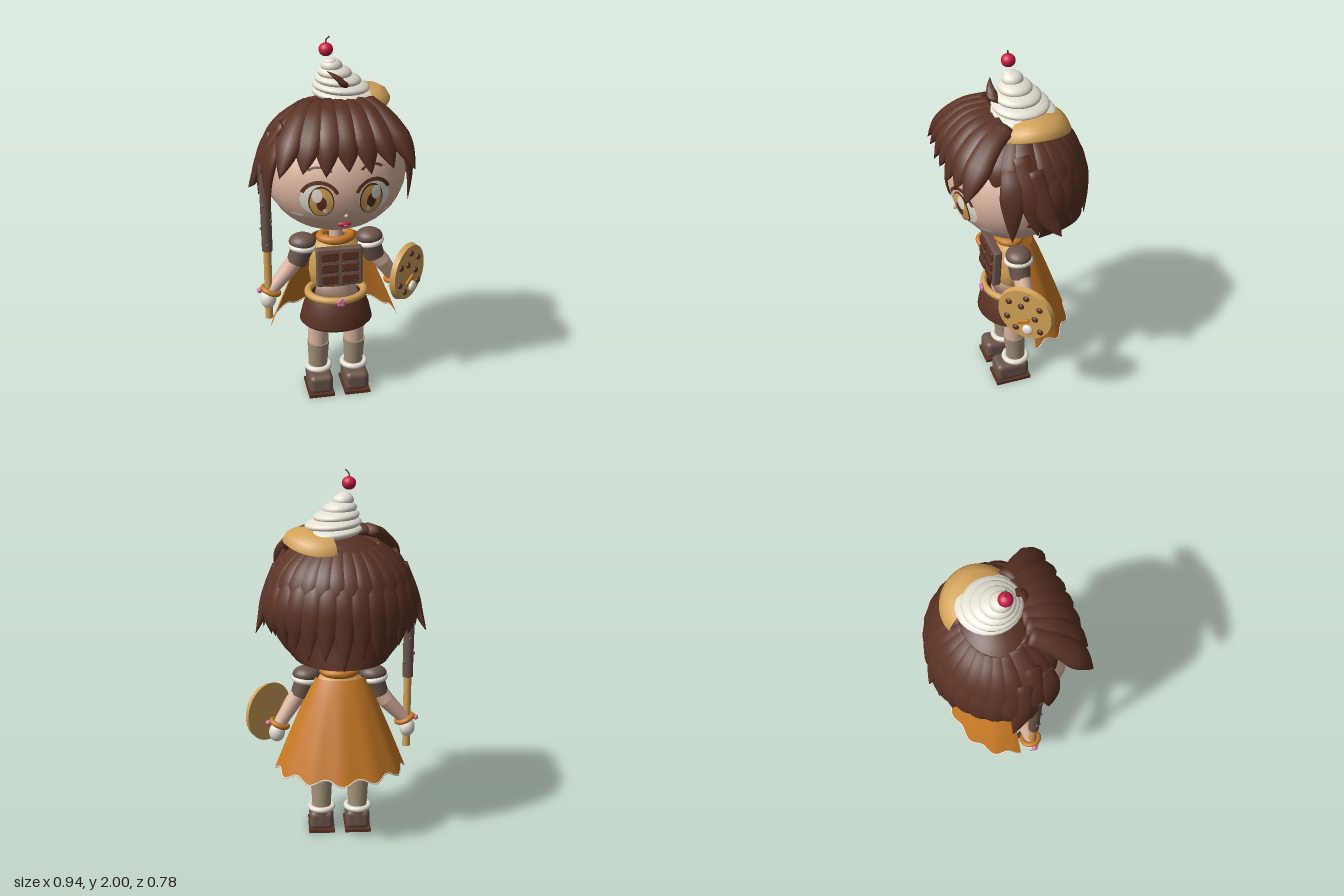
import * as THREE from 'three';
import { mergeVertices } from 'three/addons/utils/BufferGeometryUtils.js';
import { RoundedBoxGeometry } from 'three/addons/geometries/RoundedBoxGeometry.js';

const V = (x, y, z) => new THREE.Vector3(x, y, z);
const mat = (name, color, double) => {
  const m = new THREE.MeshStandardMaterial({ color });
  m.name = name;
  if (double) m.side = THREE.DoubleSide;
  return m;
};

export function createModel() {
  const model = new THREE.Group();
  const root = new THREE.Group();
  root.name = 'figure';
  root.position.x = -0.033;
  model.add(root);

  const hair = mat('chocolate brown', 0x5a3224, true), skin = mat('skin', 0xdcb5a0);
  const cocoa = mat('cocoa grey', 0x6b554b), orange = mat('orange', 0xc97a26, true);
  const tan = mat('biscuit', 0xd2a258, true), cream = mat('cream', 0xe6e1d4);
  const red = mat('cherry red', 0xc81c40), pink = mat('pink', 0xd873a8);
  const sock = mat('stocking', 0xa6937a), stemColour = mat('stem', 0x4d4a33);

  const add = (name, geo, m, x = 0, y = 0, z = 0, parent = root) => {
    const mesh = new THREE.Mesh(geo, m);
    mesh.name = name;
    mesh.position.set(x, y, z);
    parent.add(mesh);
    return mesh;
  };
  const ball = (name, m, x, y, z, rx, ry = rx, rz = rx, parent = root) => {
    const b = add(name, new THREE.SphereGeometry(1, 24, 16), m, x, y, z, parent);
    b.scale.set(rx, ry, rz);
    return b;
  };
  const limb = (name, m, a, b, ra, rb) => {
    const c = add(name, new THREE.CylinderGeometry(rb, ra, a.distanceTo(b), 18), m);
    c.position.lerpVectors(a, b, 0.5);
    c.quaternion.setFromUnitVectors(V(0, 1, 0), b.clone().sub(a).normalize());
    return c;
  };
  const ring = (name, m, x, y, z, R, r, sz = 1) => {
    const g = new THREE.TorusGeometry(R, r, 10, 32).rotateX(Math.PI / 2).scale(1, 1, sz);
    return add(name, g, m, x, y, z);
  };
  const lathe = (name, m, pts, x, y, z, sz = 1) => add(name,
    new THREE.LatheGeometry(pts.map(p => new THREE.Vector2(...p)), 36).scale(1, 1, sz), m, x, y, z);

  // Smooth surface from a rule f(u, v)
  const grid = (nu, nv, f) => {
    const pos = [], idx = [];
    for (let i = 0; i <= nv; i++) for (let j = 0; j <= nu; j++) pos.push(...f(j / nu, i / nv).toArray());
    for (let i = 0; i < nv; i++) for (let j = 0; j < nu; j++) {
      const a = i * (nu + 1) + j, c = a + nu + 1;
      idx.push(a, a + 1, c, a + 1, c + 1, c);
    }
    let g = new THREE.BufferGeometry();
    g.setAttribute('position', new THREE.Float32BufferAttribute(pos, 3));
    g.setIndex(idx);
    g = mergeVertices(g, 1e-5);
    g.computeVertexNormals();
    return g;
  };

  // Head and projected face details
  const H = V(0, 1.3, 0.02), HR = V(0.365, 0.315, 0.32);
  ball('head', skin, H.x, H.y, H.z, HR.x, HR.y, HR.z);
  const decal = (name, m, x, y, rx, ry, off, inner = 0, start = 0, len = Math.PI * 2) => {
    const g = new THREE.RingGeometry(inner, 1, 28, 4, start, len).scale(rx, ry, 1).translate(x, y, 0);
    const p = g.attributes.position;
    for (let i = 0; i < p.count; i++) {
      const k = 1 - (p.getX(i) / HR.x) ** 2 - ((p.getY(i) - H.y) / HR.y) ** 2;
      p.setZ(i, H.z + HR.z * Math.sqrt(Math.max(0, k)) + off);
    }
    g.computeVertexNormals();
    return add(name, g, m);
  };
  for (const s of [-1, 1]) {
    decal('eyeWhite', cream, s * 0.143, 1.255, 0.083, 0.083, 0.004);
    decal('irisRim', hair, s * 0.125, 1.25, 0.062, 0.086, 0.007);
    decal('iris', tan, s * 0.125, 1.248, 0.056, 0.079, 0.01);
    decal('pupil', hair, s * 0.125, 1.243, 0.024, 0.04, 0.013);
    decal('eyeHighlight', cream, s * 0.148, 1.288, 0.025, 0.037, 0.016);
    decal('eyeGlint', cream, s * 0.108, 1.205, 0.011, 0.014, 0.016);
    decal('upperLash', hair, s * 0.133, 1.255, 0.102, 0.11, 0.012, 0.83, 0.45, 2.25);
    decal('eyebrow', hair, s * 0.13, 1.385, 0.07, 0.045, 0.008, 0.78, 0.5, 2.1);
    decal('cheekMark', cream, s * 0.232, 1.155, 0.03, 0.009, 0.008);
  }
  ball('mouth', red, 0, 1.098, 0.268, 0.036, 0.014, 0.012);
  ball('tongue', pink, 0.004, 1.095, 0.273, 0.016, 0.006, 0.01);
  ball('nose', skin, 0, 1.165, 0.318, 0.01);

  // Hair cap with face opening: hugs the head at the sides, hangs straight at the back
  const scalp = (phi, y, off = 0) => {
    const c = (y - 1.3) / (y > 1.3 ? 0.38 : 0.34), back = Math.max(0, -Math.cos(phi));
    const k = Math.sqrt(Math.max(0, 1 - c * c));
    const r = y > 1.3 ? k : k + (1.1 - k) * back ** 3 * Math.min(1, -c * 1.6);
    return V((0.37 * r + off) * Math.sin(phi), y, -0.03 + (0.31 * r + off) * Math.cos(phi));
  };
  add('hairCap', grid(96, 24, (u, v) => {
    const phi = -(u * 2 - 1) * Math.PI, a = Math.abs(phi);
    const end = a < 1.28 ? 1.43 : a < 1.62 ? 1.2 : 1.06;
    return scalp(phi, 1.68 - (1.68 - end) * v ** 1.7);
  }), hair);

  // Tapered lock swept along a curve, flat side to the head
  const lock = (name, pts, w, d, taper = 0.45) => {
    const curve = new THREE.CatmullRomCurve3(pts);
    return add(name, grid(10, 16, (u, v) => {
      const t = Math.min(1, Math.max(0, (v - 0.06) / 0.94));
      const p = curve.getPoint(t), T = curve.getTangent(t), N = p.clone().sub(V(0, 1.3, 0));
      N.addScaledVector(T, -N.dot(T)).normalize();
      const B = N.clone().cross(T), a = u * Math.PI * 2;
      const k = v === 0 ? 0 : t < taper ? 0.7 + 0.3 * t / taper : 1 - ((t - taper) / (1 - taper)) ** 1.7;
      return p.addScaledVector(B, Math.cos(a) * w * k).addScaledVector(N, Math.sin(a) * d * k);
    }), hair);
  };
  for (let i = 0; i < 7; i++) {
    const s = (i - 3) / 3, q = s * s;
    lock('fringeLock', [V(0.155 * s, 1.68, 0.09), V(0.215 * s, 1.655 - 0.025 * q, 0.22 - 0.03 * q),
      V(0.28 * s, 1.55 - 0.02 * q, 0.325 - 0.04 * q), V(0.335 * s, 1.405 + (i % 2) * 0.02, 0.39 - 0.03 * q)], 0.072, 0.044, 0.6);
  }
  for (let i = 0; i < 12; i++) {
    const phi = -1.3 + 2.6 * i / 11;
    lock('underFringeLock', [scalp(phi, 1.63), scalp(phi, 1.56, 0.005), scalp(phi, 1.49, 0.012), scalp(phi, 1.4, 0.016)], 0.065, 0.028, 0.6);
  }
  for (let i = 0; i < 13; i++) {
    const t = i / 12, phi = Math.PI * (0.56 + 0.88 * t), mid = 1 - Math.abs(t * 2 - 1);
    const tip = 1.17 - 0.11 * mid + (i % 2) * 0.03;
    lock('backLock', [scalp(phi, 1.55, -0.008), scalp(phi, 1.42, 0.008), scalp(phi, 1.28, 0.014), scalp(phi, tip, 0.02)], 0.066, 0.028, 0.5);
  }
  for (let i = 0; i < 14; i++) {
    const phi = Math.PI * (0.54 + 0.92 * i / 13);
    lock('crownLock', [scalp(phi, 1.62, -0.012), scalp(phi, 1.54, 0), scalp(phi, 1.44, 0.008), scalp(phi, 1.3 + (i % 2) * 0.04, 0.016)], 0.062, 0.024, 0.5);
  }
  for (const s of [-1, 1]) {
    lock('templeLock', [V(0.29 * s, 1.52, 0.12), V(0.34 * s, 1.44, 0.125), V(0.365 * s, 1.32, 0.13), V(0.36 * s, 1.14, 0.13)], 0.062, 0.022, 0.45);
    lock('flaredLock', [V(0.33 * s, 1.52, 0), V(0.38 * s, 1.38, -0.02), V(0.405 * s, 1.27, -0.05), V(0.44 * s, 1.18, -0.1)], 0.06, 0.026, 0.5);
    lock('sideLock', [V(0.28 * s, 1.58, 0.06), V(0.365 * s, 1.42, 0.04), V(0.385 * s, 1.3, 0.02), V(0.4 * s, 1.18, 0.01)], 0.06, 0.024, 0.5);
  }

  // Draped wafer, whipped cream, cherry and chocolate curl
  const rim = [[0.05, 0.055], [0.14, 0.05], [0.18, 0.028], [0.2, -0.008], [0.188, -0.02]];
  const wafer = new THREE.LatheGeometry(rim.map(p => new THREE.Vector2(...p)), 32, 0.2, 3.3);
  const wp = wafer.attributes.position;
  for (let i = 0; i < wp.count; i++) wp.setY(i, wp.getY(i) - 1.1 * wp.getZ(i) ** 2);
  wafer.computeVertexNormals();
  add('wafer', wafer, tan, 0.096, 1.665, -0.058);
  const tilt = new THREE.Quaternion().setFromUnitVectors(V(0, 1, 0), V(0.08, 1, 0).normalize());
  [0.165, 0.146, 0.118, 0.087, 0.055].forEach((r, i) => {
    const t = i / 4;
    ball('creamLayer', cream, 0.055 - 0.069 * t, 1.695 + 0.15 * t, -0.032 + 0.032 * t, r, 0.038, r).quaternion.copy(tilt);
  });
  ball('creamTip', cream, -0.022, 1.868, 0.008, 0.035, 0.018, 0.035);
  ball('cherry', red, -0.044, 1.93, 0.01, 0.036, 0.034, 0.036);
  add('cherryStem', new THREE.TubeGeometry(new THREE.CatmullRomCurve3(
    [V(-0.046, 1.955, 0.01), V(-0.042, 1.98, 0.012), V(-0.026, 1.997, 0.018)]), 8, 0.004, 6), stemColour);
  lock('chocolateCurl', [V(0.035, 1.76, 0.08), V(0.02, 1.785, 0.11), V(-0.01, 1.815, 0.115), V(-0.06, 1.848, 0.1)], 0.03, 0.017, 0.25);

  // Neck, torso, belt and skirt
  limb('neck', skin, V(0, 0.88, 0.035), V(0, 1.02, 0.03), 0.036, 0.034);
  lathe('midriff', skin, [[0.001, 0.56], [0.12, 0.58], [0.1, 0.65], [0.12, 0.75], [0.001, 0.9]], 0, 0, 0.035, 0.7);
  lathe('bodice', tan, [[0.11, 0.655], [0.137, 0.67], [0.148, 0.74], [0.14, 0.82], [0.12, 0.89], [0.05, 0.935]], 0, 0, 0.035, 0.62);
  ring('collar', orange, 0, 0.925, 0.03, 0.083, 0.023, 0.8);
  ring('belt', tan, 0, 0.6, 0.035, 0.152, 0.021, 0.85);
  lathe('skirt', hair, [[0.001, 0.45], [0.17, 0.435], [0.185, 0.425], [0.198, 0.44], [0.182, 0.51], [0.16, 0.57], [0.14, 0.6]], 0, 0, 0.03, 0.86);
  for (let i = 0; i < 5; i++) {
    const a = i * Math.PI * 0.4;
    ball('beltFlower', pink, 0.012 * Math.sin(a), 0.6 + 0.012 * Math.cos(a), 0.185, 0.013, 0.013, 0.009);
  }

  // Chocolate bar breastplate
  const bar = new THREE.Group();
  bar.name = 'breastplate';
  bar.position.set(0, 0.795, 0.13);
  bar.rotation.x = -0.06;
  root.add(bar);
  add('bar', new RoundedBoxGeometry(0.245, 0.215, 0.045, 2, 0.012), cocoa, 0, 0, 0, bar);
  for (const x of [-0.054, 0.054]) for (const y of [-0.064, 0, 0.064])
    add('barTile', new RoundedBoxGeometry(0.09, 0.052, 0.02, 2, 0.008), hair, x, y, 0.023, bar);

  // Arms
  for (const s of [-1, 1]) {
    const wz = s < 0 ? 0.045 : 0.005, wx = s < 0 ? 0.355 : 0.325;
    const shoulder = V(0.16 * s, 0.88, 0.035), elbow = V(0.25 * s, 0.755, 0.03), wrist = V(wx * s, 0.64, wz);
    limb('upperArm', skin, shoulder, elbow, 0.045, 0.045);
    ball('elbow', skin, elbow.x, elbow.y, elbow.z, 0.045);
    limb('forearm', skin, elbow, wrist, 0.045, 0.034);
    ball('shoulderPuff', cocoa, 0.18 * s, 0.91, 0.035, 0.072, 0.044, 0.068);
    ring('sleeveTrim', cream, 0.182 * s, 0.883, 0.035, 0.063, 0.015).rotation.z = 0.12 * s;
    limb('sleeve', cocoa, V(0.178 * s, 0.88, 0.035), V(0.212 * s, 0.79, 0.033), 0.06, 0.054);
    ring('bracelet', orange, wrist.x, wrist.y, wz, 0.045, 0.014).rotation.z = 0.4 * s;
    ball('braceletBead', pink, (wx + 0.06) * s, 0.645, wz, 0.015);
    ball('hand', cream, (wx + 0.015) * s, 0.59, wz, 0.043, 0.052, 0.042);
  }

  // Dipped biscuit stick
  limb('stick', tan, V(-0.368, 0.48, 0.05), V(-0.368, 0.9, 0.05), 0.021, 0.021);
  limb('stickCoating', cocoa, V(-0.368, 0.88, 0.05), V(-0.372, 1.37, 0.05), 0.028, 0.029);
  for (let i = 0; i < 9; i++)
    ball('stickCrumb', cocoa, -0.37 + 0.028 * Math.sin(i * 2.4), 0.92 + i * 0.045, 0.05 + 0.028 * Math.cos(i * 2.4), 0.008);

  // Cookie shield
  const shield = new THREE.Group();
  shield.name = 'shield';
  shield.position.set(0.387, 0.69, 0.067);
  shield.rotation.y = Math.PI / 4;
  root.add(shield);
  add('cookie', new THREE.CylinderGeometry(0.152, 0.16, 0.028, 36).rotateX(Math.PI / 2), tan, 0, 0, 0, shield);
  [[-0.09, 0.06], [0.01, 0.11], [0.085, 0.06], [-0.02, 0.05], [-0.1, -0.04], [0.06, -0.01],
    [-0.05, -0.1], [0.09, -0.085]].forEach(([x, y]) =>
    ball('chocolateChip', hair, x, y, 0.015, 0.018, 0.017, 0.012, shield));
  ball('creamDollop', cream, 0.02, -0.09, 0.02, 0.03, 0.03, 0.018, shield);
  const slice = add('orangeSlice', new RoundedBoxGeometry(0.075, 0.022, 0.016, 2, 0.007), orange, -0.005, -0.045, 0.018, shield);
  slice.rotation.z = 0.45;

  // Cape with wavy hem and trim
  const cape = (u, v) => {
    const a = (u * 2 - 1) * Math.PI / 2, e = Math.pow(v, 0.9), wave = Math.cos(u * Math.PI * 12);
    const fold = 0.009 * wave * v;
    return V((0.13 + 0.215 * e + fold) * Math.sin(a),
      0.91 - v * (0.505 + 0.016 * wave),
      -0.005 - (0.09 + 0.185 * e + fold) * Math.cos(a));
  };
  add('cape', grid(72, 14, cape), orange);
  const hem = Array.from({ length: 57 }, (_, i) => cape(i / 56, 1));
  add('capeTrim', new THREE.TubeGeometry(new THREE.CatmullRomCurve3(hem), 112, 0.004, 6), cream);

  // Legs, stockings and boots
  for (const s of [-1, 1]) {
    const x = 0.1 * s;
    limb('leg', skin, V(x, 0.27, 0.03), V(x * 0.95, 0.5, 0.035), 0.054, 0.062);
    limb('stocking', sock, V(x, 0.12, 0.02), V(x, 0.295, 0.033), 0.05, 0.06);
    ring('bootTrim', cream, x, 0.135, 0.025, 0.062, 0.016);
    limb('bootAnkle', cocoa, V(x, 0.05, 0.022), V(x, 0.135, 0.022), 0.064, 0.06);
    add('boot', new RoundedBoxGeometry(0.132, 0.11, 0.188, 4, 0.03), cocoa, x, 0.068, 0.056);
    add('sole', new THREE.BoxGeometry(0.142, 0.018, 0.2), hair, x, 0.009, 0.056);
  }
  return model;
}
